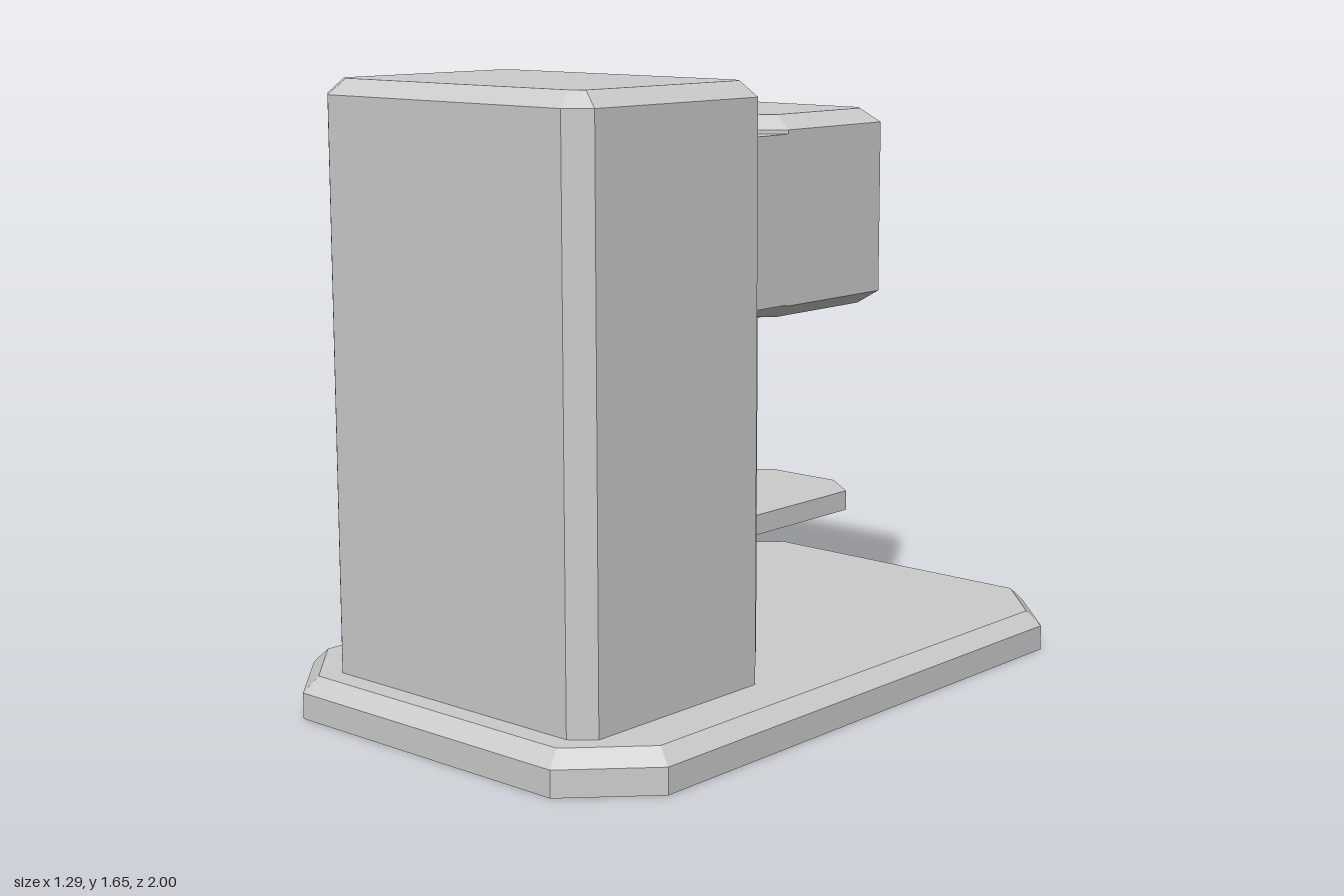
import * as THREE from 'three';

const material = new THREE.MeshStandardMaterial({ color: 0xcccccc, flatShading: true });

// Rectangle in the xz plane with cut corners
function ring(w, d, cx, cz, y) {
  const x = w / 2, z = d / 2;
  return [
    [x, y, z - cz], [x, y, -z + cz], [x - cx, y, -z], [-x + cx, y, -z],
    [-x, y, -z + cz], [-x, y, z - cz], [-x + cx, y, z], [x - cx, y, z],
  ];
}

// Solid lofted through stacked rings, closed at both ends
function loft(rings) {
  const pos = [];
  const n = rings[0].length;
  const tri = (a, b, c) => pos.push(...a, ...b, ...c);
  for (let k = 0; k < rings.length - 1; k++) {
    const lo = rings[k], hi = rings[k + 1];
    for (let i = 0; i < n; i++) {
      const j = (i + 1) % n;
      tri(lo[i], lo[j], hi[j]);
      tri(lo[i], hi[j], hi[i]);
    }
  }
  const bottom = rings[0], top = rings[rings.length - 1];
  for (let i = 1; i < n - 1; i++) {
    tri(top[0], top[i], top[i + 1]);
    tri(bottom[0], bottom[i + 1], bottom[i]);
  }
  const geo = new THREE.BufferGeometry();
  geo.setAttribute('position', new THREE.Float32BufferAttribute(pos, 3));
  geo.computeVertexNormals();
  return geo;
}

// Block with cut upright corners and optional bevels on top and bottom
function block({ w, d, y0, y1, cx, cz = cx, inset = 0, rise = 0, below = false }) {
  const shrink = inset * (2 - Math.SQRT2);
  const small = (y) => ring(w - 2 * inset, d - 2 * inset, cx - shrink, cz - shrink, y);
  const rings = [];
  if (below) rings.push(small(y0));
  rings.push(ring(w, d, cx, cz, below ? y0 + rise : y0));
  rings.push(ring(w, d, cx, cz, inset ? y1 - rise : y1));
  if (inset) rings.push(small(y1));
  return loft(rings);
}

export function createModel() {
  const model = new THREE.Group();
  model.name = 'coffeeMachine';

  const add = (name, geo, x = 0, y = 0, z = 0, parent = model) => {
    const mesh = new THREE.Mesh(geo, material);
    mesh.name = name;
    mesh.position.set(x, y, z);
    parent.add(mesh);
    return mesh;
  };

  // Base plate and tall tank
  add('base', block({ w: 1.29, d: 2, y0: 0, y1: 0.11, cx: 0.195, cz: 0.2, inset: 0.04, rise: 0.04 }));
  add('tank', block({ w: 0.935, d: 0.685, y0: 0.1, y1: 1.655, cx: 0.06, cz: 0.05, inset: 0.045, rise: 0.04 }), 0, 0, 0.558);

  // Column and neck that carry the brewing head
  add('column', block({ w: 0.562, d: 0.315, y0: 0.1, y1: 1.04, cx: 0.065, cz: 0.055 }), 0, 0, 0.14);
  add('neck', new THREE.BoxGeometry(0.562, 0.455, 0.335), 0, 1.2675, 0.0825);
  add('head', block({ w: 0.562, d: 0.525, y0: 1, y1: 1.543, cx: 0.06, inset: 0.055, rise: 0.037, below: true }), 0, 0, -0.287);

  // Square nozzle under the head
  const nozzle = new THREE.CylinderGeometry(0.055 * Math.SQRT2, 0.03 * Math.SQRT2, 0.045, 4);
  nozzle.rotateY(Math.PI / 4);
  add('nozzle', nozzle, 0, 0.9825, -0.28);

  // Round dial on the end of the head
  const dial = new THREE.CylinderGeometry(0.113, 0.113, 0.06, 8);
  dial.rotateX(Math.PI / 2);
  add('dial', dial, 0, 1.243, -0.567);

  // Cup tray with cut outer corners
  const tray = new THREE.Shape([
    [-0.222, -0.05], [0.222, -0.05], [0.222, 0.43], [0.11, 0.517], [-0.11, 0.517], [-0.222, 0.43],
  ].map(([x, y]) => new THREE.Vector2(x, y)));
  const trayGeo = new THREE.ExtrudeGeometry(tray, { depth: 0.055, bevelEnabled: false });
  trayGeo.rotateX(-Math.PI / 2);
  add('tray', trayGeo, 0, 0.41, 0);

  // Lever: octagonal hub on the side with a flared handle
  const lever = new THREE.Group();
  lever.name = 'lever';
  lever.position.set(0, 1.22, 0);
  model.add(lever);
  const hub = new THREE.CylinderGeometry(0.104, 0.096, 0.235, 8);
  hub.rotateY(Math.PI / 8);
  hub.rotateZ(-Math.PI / 2);
  add('leverHub', hub, -0.3775, 0, 0.042, lever);
  const profile = [[0, 0], [0.05, 0], [0.045, 0.36], [0.071, 0.432], [0.036, 0.458], [0, 0.458]];
  const handle = new THREE.LatheGeometry(profile.map(([r, l]) => new THREE.Vector2(r, l)), 6);
  handle.rotateY(Math.PI / 6);
  handle.rotateX(-Math.PI / 2);
  add('leverHandle', handle, -0.418, 0, 0.042, lever);

  return model;
}
